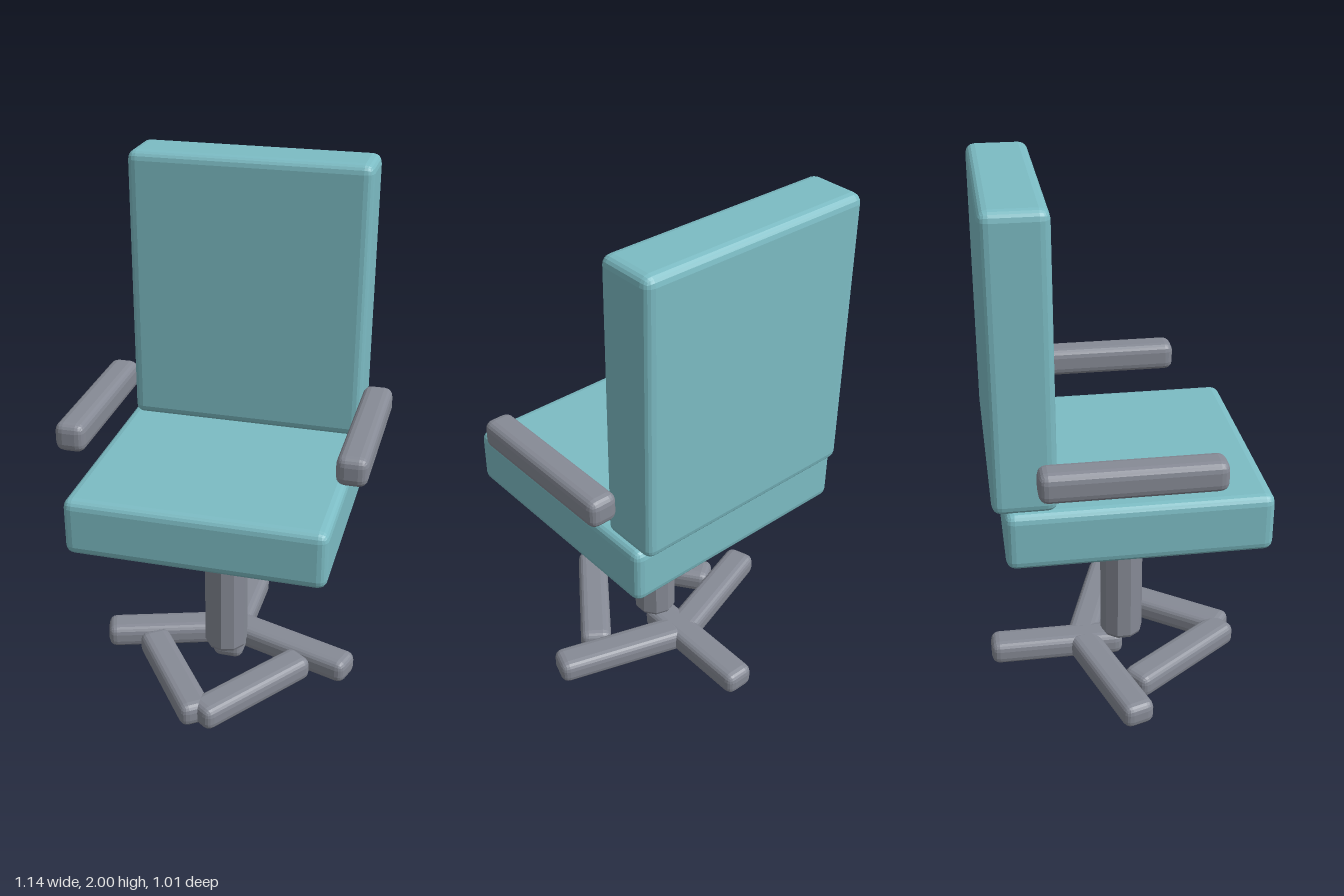
import * as THREE from 'three';
import { RoundedBoxGeometry } from 'three/addons/geometries/RoundedBoxGeometry.js';

export function createModel() {
  const chair = new THREE.Group();
  chair.name = 'officeChair';

  const upholstery = new THREE.MeshStandardMaterial({ color: 0x7cbcc4 });
  upholstery.name = 'teal upholstery';
  const frame = new THREE.MeshStandardMaterial({ color: 0x868a95 });
  frame.name = 'grey frame';

  // Bevelled box with faceted edges, given by size and centre
  function block(name, size, centre, bevel, material) {
    const geometry = new RoundedBoxGeometry(...size, 2, bevel);
    geometry.computeVertexNormals();
    const mesh = new THREE.Mesh(geometry, material);
    mesh.name = name;
    mesh.position.set(...centre);
    chair.add(mesh);
    return mesh;
  }

  // Cushions
  block('seat', [0.955, 0.223, 0.953], [0, 0.833, 0.028], 0.035, upholstery);
  block('backrest', [0.918, 1.065, 0.228], [0, 1.4675, -0.375], 0.035, upholstery);

  // Armrests
  for (const [name, side] of [['leftArmrest', 1], ['rightArmrest', -1]]) {
    block(name, [0.114, 0.112, 0.648], [side * 0.515, 1.085, -0.012], 0.033, frame);
  }

  // Ten-sided column with bevelled ends
  const baseZ = 0.027;
  const profile = [
    [0, 0.09], [0.066, 0.09], [0.079, 0.096], [0.085, 0.109],
    [0.085, 0.702], [0.079, 0.715], [0.066, 0.721], [0, 0.721],
  ].map(([r, y]) => new THREE.Vector2(r, y));
  const columnGeometry = new THREE.LatheGeometry(profile, 10).toNonIndexed();
  columnGeometry.computeVertexNormals();
  const column = new THREE.Mesh(columnGeometry, frame);
  column.name = 'column';
  column.position.z = baseZ;
  chair.add(column);

  // Five base legs: placed around a circle, each turned the mirrored way
  const radius = 0.267;
  for (let i = 0; i < 5; i++) {
    const a = (i * Math.PI * 2) / 5;
    const centre = [radius * Math.sin(a), 0.0485, baseZ - radius * Math.cos(a)];
    block('baseLeg' + (i + 1), [0.125, 0.097, radius * 2], centre, 0.033, frame).rotation.y = a;
  }

  return chair;
}
